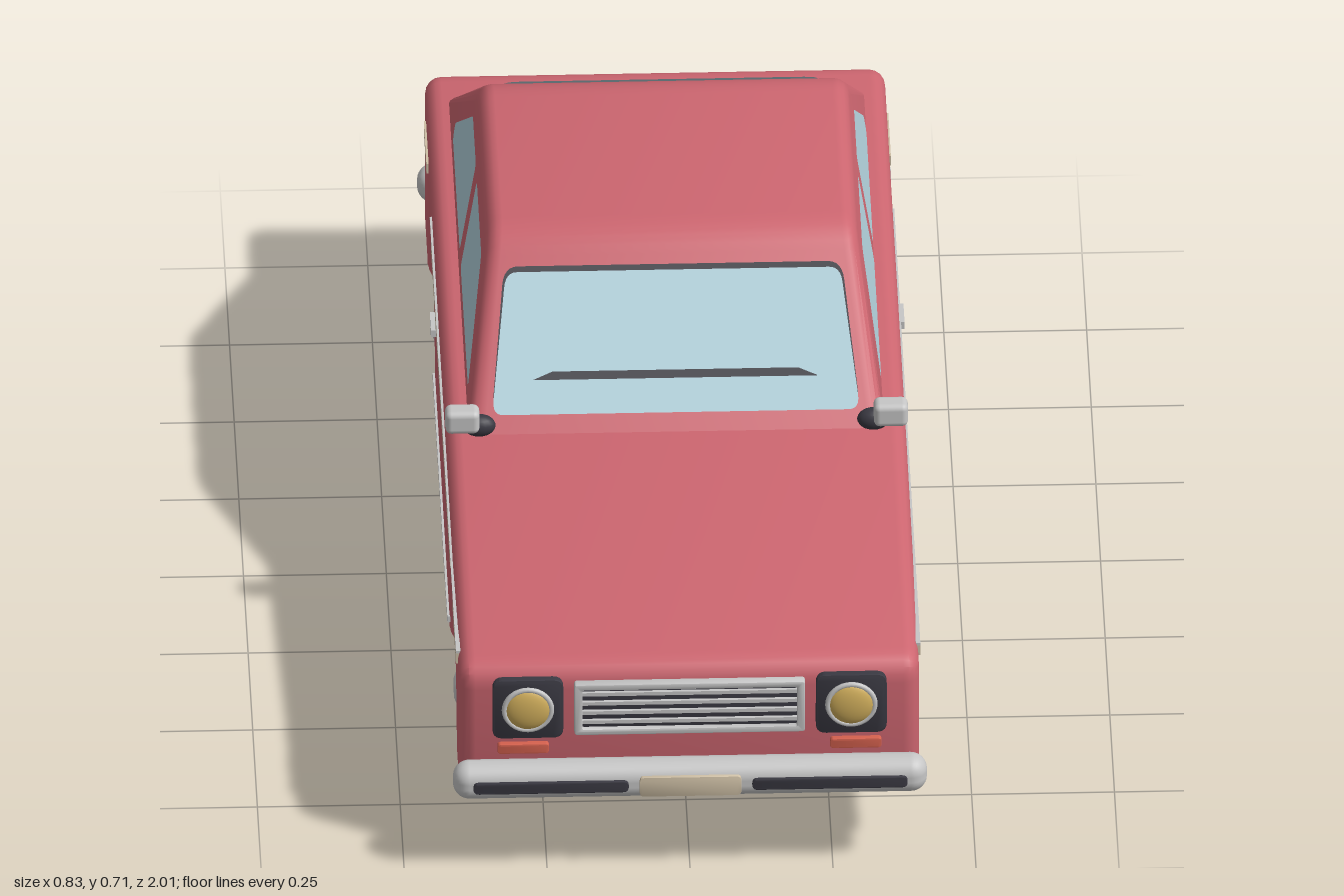
import * as THREE from 'three';
import { toCreasedNormals } from 'three/addons/utils/BufferGeometryUtils.js';
import { RoundedBoxGeometry } from 'three/addons/geometries/RoundedBoxGeometry.js';

const mat = (name, color, side = THREE.FrontSide) => {
  const m = new THREE.MeshStandardMaterial({ color, side });
  m.name = name;
  return m;
};

// Closed outline from [u, v, cornerRadius] points
function outline(pts, r = 0) {
  const s = new THREE.Shape();
  const V = pts.map(p => new THREE.Vector2(p[0], p[1]));
  V.forEach((p, i) => {
    const rad = pts[i][2] ?? r;
    const toward = q => p.clone().add(q.clone().sub(p).setLength(rad));
    const a = rad ? toward(V.at(i - 1)) : p;
    if (i) s.lineTo(a.x, a.y); else s.moveTo(a.x, a.y);
    if (rad) {
      const b = toward(V[(i + 1) % V.length]);
      s.quadraticCurveTo(p.x, p.y, b.x, b.y);
    }
  });
  s.closePath();
  return s;
}
const rect = (w, h, r) => outline([[-w / 2, -h / 2], [w / 2, -h / 2], [w / 2, h / 2], [-w / 2, h / 2]], r);

// Side profile (z, y) extruded across the car with soft edges
function hull(pts, width, bevel) {
  const depth = width - 2 * bevel;
  const g = new THREE.ExtrudeGeometry(outline(pts), {
    depth, curveSegments: 5, bevelEnabled: true, bevelSize: bevel, bevelThickness: bevel,
    bevelOffset: -bevel, bevelSegments: 4,
  });
  return g.translate(0, 0, -depth / 2).rotateY(-Math.PI / 2);
}

export function createModel() {
  const car = new THREE.Group();
  car.name = 'car';
  const red = mat('red paint', 0xcd6670);
  const glass = mat('pale glass', 0xb2d2dc, THREE.DoubleSide);
  const chrome = mat('chrome', 0xc6c6c6, THREE.DoubleSide);
  const dark = mat('dark rubber', 0x3a3942, THREE.DoubleSide);
  const floorMat = mat('underside black', 0x242428);
  const gold = mat('lamp yellow', 0xd0ae5c);
  const cream = mat('cream', 0xcfc0a6, THREE.DoubleSide);
  const orange = mat('signal orange', 0xd5614e);

  const add = (name, geo, m, x = 0, y = 0, z = 0, parent = car) => {
    const mesh = new THREE.Mesh(geo, m);
    mesh.name = name;
    mesh.position.set(x, y, z);
    parent.add(mesh);
    return mesh;
  };
  // Rounded slab facing +z, or -z when it sits at the rear
  const slab = (name, shape, d, m, x, y, z) => {
    const g = new THREE.ExtrudeGeometry(shape, {
      depth: d, curveSegments: 5, bevelEnabled: true, bevelSize: 0.003, bevelThickness: 0.003,
      bevelOffset: -0.003, bevelSegments: 2,
    }).translate(0, 0, -d / 2);
    if (z < 0) g.rotateY(Math.PI);
    return add(name, toCreasedNormals(g, 0.6), m, x, y, z);
  };
  // Thin panel laid on a sloping surface by a mapping of (u, v)
  const panel = (name, pts, r, m, map) => {
    const g = new THREE.ShapeGeometry(outline(pts, r), 6);
    const p = g.attributes.position;
    for (let i = 0; i < p.count; i++) p.setXYZ(i, ...map(p.getX(i), p.getY(i)));
    g.computeVertexNormals();
    return add(name, g, m);
  };

  // Lower body with wheel arches
  const axles = [-0.575, 0.6], axleY = 0.145, archR = 0.17, base = 0.125;
  const profile = [[-0.935, base, 0.04]];
  for (const z of axles) {
    profile.push([z - archR, base]);
    for (let i = 0; i <= 18; i++) {
      const a = Math.PI * (1 - i / 18);
      profile.push([z + archR * Math.cos(a), axleY + archR * Math.sin(a)]);
    }
    profile.push([z + archR, base]);
  }
  profile.push([0.935, base, 0.04], [0.945, 0.403, 0.045], [0.27, 0.438], [-0.945, 0.442, 0.045]);
  add('lowerBody', toCreasedNormals(hull(profile, 0.805, 0.028), 0.5), red);

  // Cabin, narrowing towards the roof
  const cabinX = y => 0.365 - (y - 0.43) * 0.16;
  const cabin = hull([[-0.9, 0.41], [0.265, 0.41], [0, 0.708, 0.045], [-0.48, 0.708, 0.045]], 0.73, 0.028);
  const cp = cabin.attributes.position;
  for (let i = 0; i < cp.count; i++) cp.setX(i, cp.getX(i) * cabinX(cp.getY(i)) / 0.365);
  add('cabin', toCreasedNormals(cabin, 0.5), red);

  // Windscreen, rear window and wiper
  const onFront = d => (x, y) => [x, y + d * 0.67, 0.265 - (y - 0.41) * 0.889 + d * 0.74];
  const onRear = d => (x, y) => [x, y + d * 0.82, -0.48 - (0.708 - y) * 1.409 - d * 0.57];
  panel('windscreenTrim', [[-0.322, 0.465], [0.322, 0.465], [0.296, 0.66], [-0.296, 0.66]], 0.025, dark, onFront(0.002));
  panel('windscreen', [[-0.322, 0.463], [0.322, 0.463], [0.293, 0.652], [-0.293, 0.652]], 0.02, glass, onFront(0.005));
  panel('wiper', [[-0.25, 0.508], [0.25, 0.508], [0.215, 0.519], [-0.215, 0.519]], 0, dark, onFront(0.01));
  panel('rearWindow', [[-0.31, 0.477], [0.31, 0.477], [0.265, 0.66], [-0.265, 0.66]], 0.025, glass, onRear(0.005));

  // Underside
  add('floor', new THREE.BoxGeometry(0.53, 0.04, 1.56), floorMat, 0, 0.12, 0);

  // Bumpers with rubber inserts
  for (const s of [-1, 1]) {
    add('bumper', new RoundedBoxGeometry(0.83, 0.068, 0.062, 4, 0.029), chrome, 0, 0.19, s * 0.968);
    for (const k of [-1, 1]) slab('bumperInsert', rect(0.272, 0.023, 0.01), 0.008, dark, k * 0.244, 0.19, s * 0.997);
  }
  slab('frontPlate', rect(0.178, 0.04, 0.008), 0.008, cream, 0, 0.188, 0.996);
  slab('rearPlate', rect(0.18, 0.04, 0.008), 0.012, cream, 0, 0.282, -0.942);
  slab('bootHandle', rect(0.14, 0.02, 0.006), 0.02, chrome, 0, 0.385, -0.946);

  // Grille
  const frame = rect(0.404, 0.104, 0.006);
  frame.holes.push(rect(0.376, 0.08, 0.004));
  slab('grilleBack', rect(0.39, 0.09, 0.004), 0.008, dark, 0, 0.322, 0.942);
  slab('grilleFrame', frame, 0.022, chrome, 0, 0.322, 0.945);
  for (let i = 0; i < 4; i++)
    add('grilleBar', new THREE.BoxGeometry(0.378, 0.007, 0.012), chrome, 0, 0.295 + i * 0.019, 0.949);

  // Wheel parts turned about the axle
  const lathe = pts => toCreasedNormals(
    new THREE.LatheGeometry(pts.map(p => new THREE.Vector2(...p)), 36).rotateZ(-Math.PI / 2), 0.7);
  const tyre = lathe([[0.06, -0.045], [0.125, -0.045], [0.14, -0.038], [0.145, -0.022], [0.145, 0.022],
    [0.14, 0.038], [0.125, 0.045], [0.09, 0.045], [0.085, 0.03]]);
  const rim = lathe([[0.088, 0.03], [0.09, 0.048], [0.083, 0.05], [0.074, 0.036], [0.055, 0.042],
    [0.035, 0.042], [0.028, 0.052], [0.018, 0.056], [0, 0.057]]);
  const inner = lathe([[0, -0.04], [0.1, -0.04]]);
  const nub = new THREE.SphereGeometry(0.01, 10, 8);

  for (const z of axles) {
    // Wheel wells
    for (const [name, len, open] of [['wheelWell', 0.58, false], ['archLining', 0.75, true]])
      add(name, new THREE.CylinderGeometry(0.169, 0.169, len, 28, 1, open, 0, Math.PI).rotateZ(Math.PI / 2),
        dark, 0, axleY, z);
    for (const s of [-1, 1]) {
      const wheel = new THREE.Group();
      wheel.name = 'wheel';
      wheel.position.set(s * 0.345, axleY, z);
      wheel.rotation.y = s < 0 ? Math.PI : 0;
      add('tyre', tyre, dark, 0, 0, 0, wheel);
      add('rim', rim, chrome, 0, 0, 0, wheel);
      add('wheelBack', inner, dark, 0, 0, 0, wheel);
      for (let i = 0; i < 4; i++) {
        const a = Math.PI * (i / 2 + 0.25);
        add('wheelNut', nub, chrome, 0.041, 0.05 * Math.sin(a), 0.05 * Math.cos(a), wheel);
      }
      car.add(wheel);
    }
  }

  for (const s of [-1, 1]) {
    // Headlights and signals
    slab('headlightHousing', rect(0.124, 0.12, 0.018), 0.012, dark, s * 0.283, 0.322, 0.944);
    add('headlightRim', new THREE.TorusGeometry(0.041, 0.005, 8, 32), chrome, s * 0.283, 0.322, 0.953);
    const lamp = add('headlight', new THREE.SphereGeometry(0.041, 28, 14), gold, s * 0.283, 0.322, 0.951);
    lamp.scale.z = 0.35;
    slab('frontSignal', rect(0.09, 0.02, 0.006), 0.012, orange, s * 0.291, 0.238, 0.941);
    slab('tailLightFrame', rect(0.17, 0.08, 0.01), 0.008, chrome, s * 0.283, 0.318, -0.944);
    slab('tailLight', rect(0.158, 0.068, 0.008), 0.016, orange, s * 0.283, 0.318, -0.946);

    // Side windows
    const onCabin = (z, y) => [s * (cabinX(y) + 0.004), y, z];
    panel('frontSideWindow', [[-0.25, 0.475], [0.142, 0.475], [-0.012, 0.652], [-0.25, 0.652]], 0.014, glass, onCabin);
    panel('rearSideWindow', [[-0.665, 0.475], [-0.303, 0.475], [-0.303, 0.652], [-0.46, 0.652], [-0.672, 0.503]],
      0.012, glass, onCabin);

    // Side stripes, sill trim and door handle
    const strip = (name, m, z0, z1, y, h, t = 0.008) =>
      add(name, new THREE.BoxGeometry(t, h, z0 - z1), m, s * 0.4025, y, (z0 + z1) / 2);
    for (const [a, b] of [[0.87, 0.69], [0.56, -0.48], [-0.72, -0.86]]) strip('sideStripe', cream, a, b, 0.378, 0.02);
    strip('stripeTrim', chrome, 0.87, -0.54, 0.391, 0.005);
    strip('sillTrim', chrome, 0.41, -0.38, 0.165, 0.012);
    strip('doorHandle', chrome, -0.23, -0.29, 0.349, 0.014, 0.024);

    // Door mirror
    const foot = add('mirrorFoot', new THREE.SphereGeometry(0.024, 16, 12), dark, s * 0.345, 0.455, 0.235);
    foot.scale.set(1.2, 0.85, 0.8);
    add('mirror', new RoundedBoxGeometry(0.06, 0.045, 0.04, 3, 0.011), chrome, s * 0.375, 0.475, 0.245);
  }
  return car;
}
